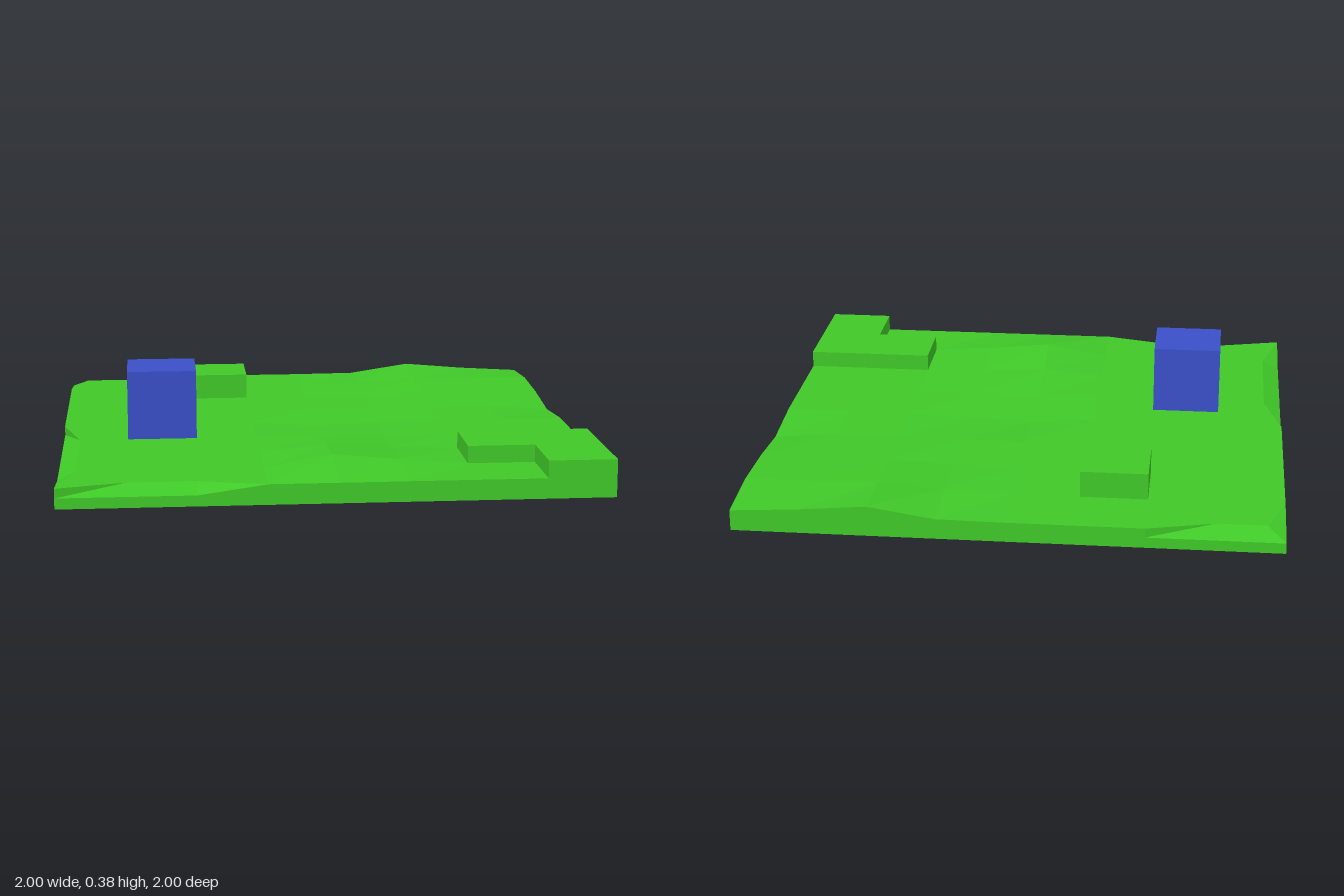
import * as THREE from 'three';

const green = new THREE.MeshStandardMaterial({ color: 0x40c828, flatShading: true, side: THREE.DoubleSide });
const blue = new THREE.MeshStandardMaterial({ color: 0x3a4fc8, flatShading: true });

const N = 8, FLOOR = 0.025, GROUND = 0.1, INSET = 0.067;

// Raised and sunken grid points, as 'x,z': height
const heights = {
  '0,0.75': 0.145, '0.25,0.75': 0.12, '0,0.5': 0.122, '0.25,0.5': 0.11,
  '0,0': 0.085, '0.25,0': 0.092,
  '1,-0.25': 0.08, '0.5,-0.5': 0.108, '0.75,-0.5': 0.108, '1,-0.5': 0.106,
  '0.25,-0.75': 0.11, '0.5,-0.75': 0.122, '0.75,-0.75': 0.12, '1,-0.75': 0.118,
  '0.25,-1': 0.102, '0.5,-1': 0.14, '0.75,-1': 0.118, '1,-1': 0.103,
};

// Grid point on the upper surface, with worn rims pulled inwards
function topPoint(x, z) {
  const p = new THREE.Vector3(x, heights[`${x},${z}`] ?? GROUND, z);
  if (x === -1 && ((z >= 0.25 && z <= 0.75) || z === -1)) p.x += INSET;
  if (z === 1 && (x === -0.75 || x === -0.5)) p.z -= INSET;
  if (z === -1 && x <= -0.75) p.z += INSET;
  return p;
}

// Grid point on the underside, with one sag at the right edge
const bottomPoint = (x, z) => new THREE.Vector3(x, x === 1 && z === -0.25 ? 0 : FLOOR, z);

// Outer wall height where the slanted rim begins
function rimPoint(x, z) {
  const p = bottomPoint(x, z);
  p.y += 0.04;
  return p;
}

// Surface through rows of points
function sheet(rows, name) {
  const w = rows[0].length, index = [];
  for (let r = 0; r < rows.length - 1; r++) {
    for (let c = 0; c < w - 1; c++) {
      const a = r * w + c, b = a + w;
      index.push(a, b, a + 1, b, b + 1, a + 1);
    }
  }
  const g = new THREE.BufferGeometry().setFromPoints(rows.flat());
  g.setIndex(index);
  g.computeVertexNormals();
  const m = new THREE.Mesh(g, green);
  m.name = name;
  return m;
}

function box(name, material, size, x, y, z) {
  const m = new THREE.Mesh(new THREE.BoxGeometry(...size), material);
  m.name = name;
  m.position.set(x, y, z);
  return m;
}

export function createModel() {
  const group = new THREE.Group();
  group.name = 'terrainTile';
  const line = Array.from({ length: N + 1 }, (_, i) => -1 + (i * 2) / N);
  const back = [...line].reverse();

  // Ground and underside
  group.add(sheet(line.map(z => line.map(x => topPoint(x, z))), 'ground'));
  group.add(sheet(back.map(z => line.map(x => bottomPoint(x, z))), 'underside'));

  // Four walls, each from top edge through rim to bottom
  const edges = {
    frontWall: line.map(x => [x, 1]),
    leftWall: back.map(z => [1, z]),
    backWall: back.map(x => [x, -1]),
    rightWall: line.map(z => [-1, z]),
  };
  for (const [name, edge] of Object.entries(edges)) {
    group.add(sheet([topPoint, rimPoint, bottomPoint].map(f => edge.map(p => f(...p))), name));
  }

  // L-shaped corner step
  const outline = [[0.5, -0.5], [0.5, -0.75], [0.75, -0.75], [0.75, -1], [1, -1], [1, -0.5]];
  const shape = new THREE.Shape(outline.map(p => new THREE.Vector2(...p)));
  const step = new THREE.Mesh(
    new THREE.ExtrudeGeometry(shape, { depth: 0.065, bevelEnabled: false }).rotateX(-Math.PI / 2), green);
  step.name = 'cornerStep';
  step.position.y = GROUND;
  group.add(step);

  // Low block and hovering cube
  group.add(box('lowBlock', green, [0.25, 0.1, 0.25], -0.375, 0.15, -0.625));
  group.add(box('cube', blue, [0.262, 0.262, 0.262], -0.615, 0.252, 0.213));
  return group;
}
